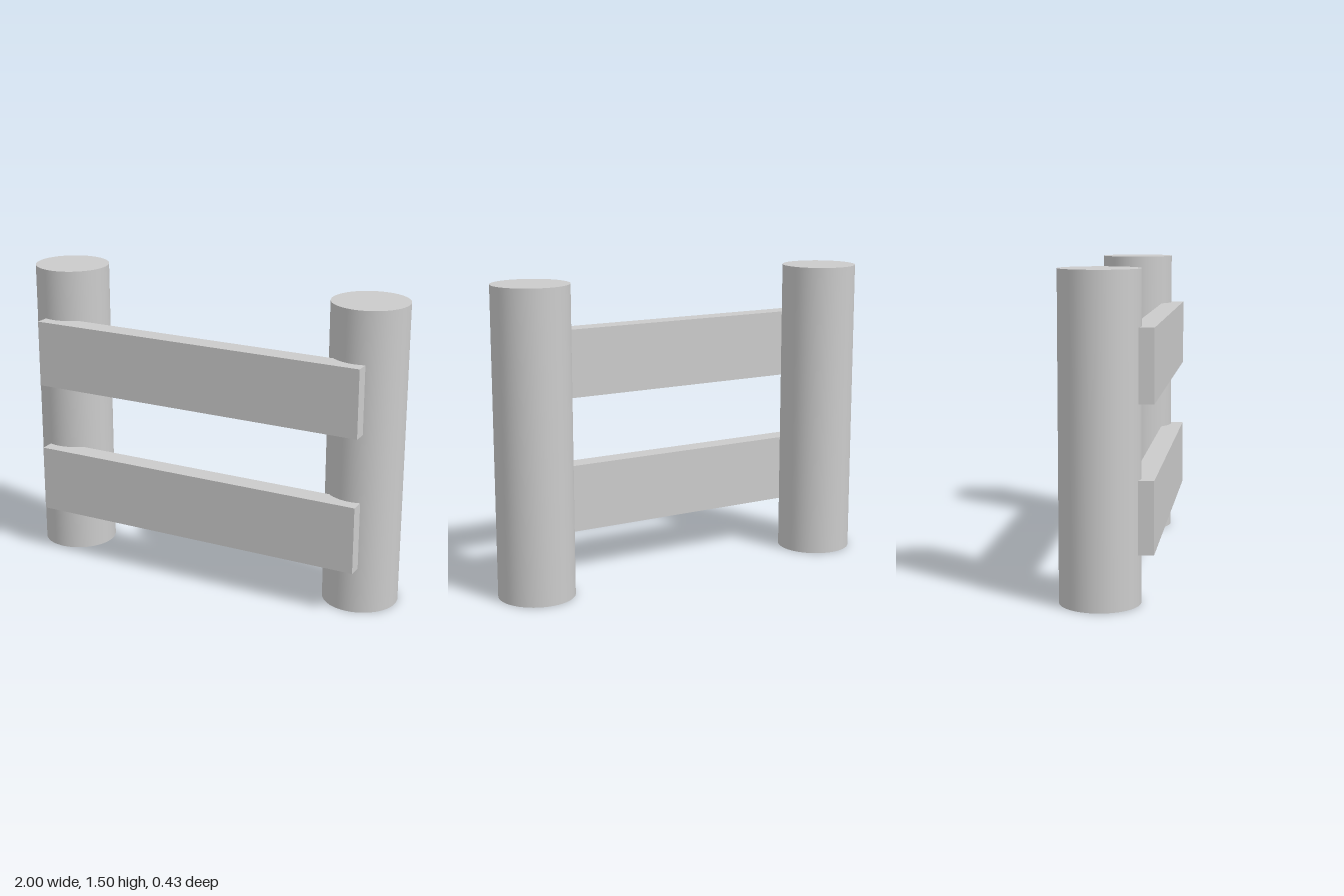
import * as THREE from 'three';

export function createModel() {
  const model = new THREE.Group();
  const material = new THREE.MeshStandardMaterial({ color: 0xcccccc });

  const add = (name, geometry, x, y, z) => {
    const mesh = new THREE.Mesh(geometry, material);
    mesh.name = name;
    mesh.position.set(x, y, z);
    model.add(mesh);
  };

  // Round upright posts
  const radius = 0.186, height = 1.5;
  const post = new THREE.CylinderGeometry(radius, radius, height, 48);
  add('leftPost', post, 1 - radius, height / 2, -0.031);
  add('rightPost', post, radius - 1, height / 2, -0.031);

  // Flat rails let into the front of the posts
  const rail = new THREE.BoxGeometry(1.736, 0.336, 0.106);
  add('lowerRail', rail, -0.001, 0.402, 0.164);
  add('upperRail', rail, -0.001, 1.078, 0.164);

  return model;
}
